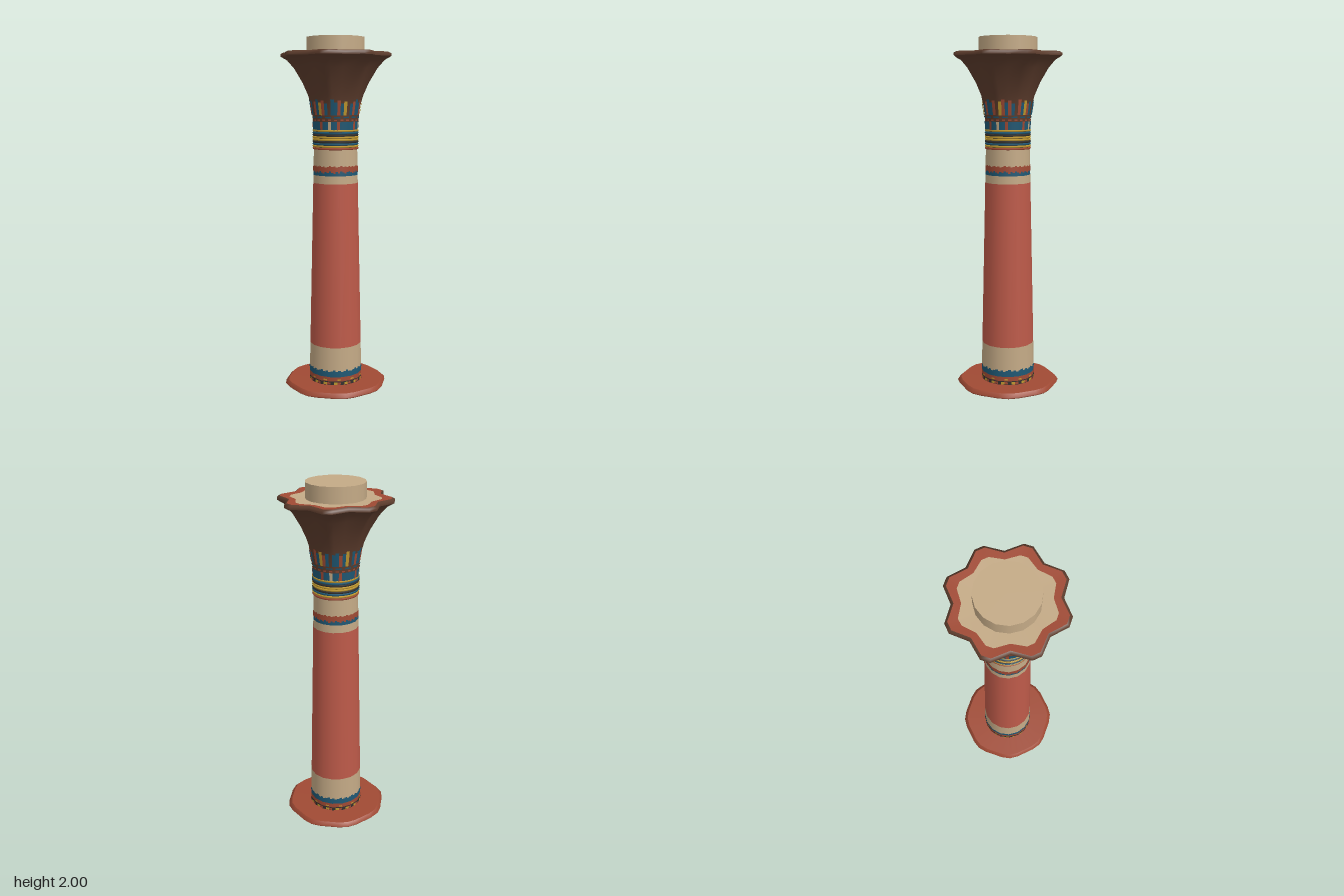
import * as THREE from 'three';
import { mergeGeometries } from 'three/addons/utils/BufferGeometryUtils.js';

const mat = (name, color) => new THREE.MeshStandardMaterial({ name, color });

export function createModel() {
  const column = new THREE.Group();
  column.name = 'column';
  const M = {
    sand: mat('sandstone', 0xc4aa86),
    red: mat('shaftRed', 0xbd5a49),
    rust: mat('rust', 0xa04a34),
    brown: mat('bellBrown', 0x5e3d2d),
    blue: mat('paintBlue', 0x1f5874),
    yellow: mat('paintYellow', 0xc0982f),
    dark: mat('darkPaint', 0x33302e),
  };
  const add = (name, geometry, material) => {
    const mesh = new THREE.Mesh(geometry, material);
    mesh.name = name;
    column.add(mesh);
    return mesh;
  };

  // Skin through rings of rows [y, tipRadius, valleyRadius] around a list of [angle, lobe weight]
  const loft = (rows, spokes) => {
    const pos = [], idx = [], n = spokes.length;
    for (const [y, tip, valley] of rows) {
      for (const [a, w] of spokes) {
        const r = valley + (tip - valley) * w;
        pos.push(r * Math.sin(a), y, r * Math.cos(a));
      }
    }
    for (let j = 0; j < rows.length - 1; j++) {
      for (let i = 0; i < n; i++) {
        const a = j * n + i, b = j * n + (i + 1) % n;
        idx.push(a, b, b + n, a, b + n, a + n);
      }
    }
    const g = new THREE.BufferGeometry();
    g.setAttribute('position', new THREE.Float32BufferAttribute(pos, 3));
    g.setIndex(idx);
    g.computeVertexNormals();
    return g;
  };

  // Foot disc, very slightly scalloped
  const footSpokes = [];
  for (let i = 0; i < 32; i++) {
    const a = i * Math.PI / 16;
    footSpokes.push([a, 0.5 - 0.5 * Math.cos(8 * a)]);
  }
  add('footUnderside', loft([[0, 0, 0], [0, 0.288, 0.277]], footSpokes), M.rust);
  add('footEdge', loft([[0, 0.288, 0.277], [0.01, 0.297, 0.285], [0.028, 0.277, 0.267]], footSpokes), M.rust);
  add('footTop', loft([[0.028, 0.277, 0.267], [0.031, 0.14, 0.14]], footSpokes), M.rust);

  // Tapering shaft in painted bands
  const shaftR = y => 0.156 - 0.0225 * y;
  const band = (name, y0, y1, material) => {
    const g = new THREE.CylinderGeometry(shaftR(y1), shaftR(y0), y1 - y0, 16, 1, true);
    g.translate(0, (y0 + y1) / 2, 0);
    add(name, g, material);
  };
  band('footBandDark', 0.03, 0.052, M.dark);
  band('footBandRust', 0.052, 0.078, M.rust);
  band('footBandBlue', 0.078, 0.108, M.blue);
  band('lowerSandBand', 0.108, 0.25, M.sand);
  band('redShaft', 0.25, 1.19, M.red);
  band('upperSandBand', 1.19, 1.235, M.sand);
  band('neckBandBlue', 1.235, 1.262, M.blue);
  band('neckBandRust', 1.262, 1.285, M.rust);
  band('neckSandBand', 1.285, 1.385, M.sand);
  band('ringCore', 1.385, 1.495, M.dark);

  // Painted strips round the column; pick(i) gives [colour, y0, y1] or null
  const strips = (name, n, radius, pick) => {
    const byColour = {};
    for (let i = 0; i < n; i++) {
      const strip = pick(i);
      if (!strip) continue;
      const [colour, y0, y1] = strip;
      const step = 2 * Math.PI / n;
      const g = new THREE.CylinderGeometry(radius(y1), radius(y0), y1 - y0, 1, 1, true, i * step, step);
      g.translate(0, (y0 + y1) / 2, 0);
      (byColour[colour] ??= []).push(g);
    }
    for (const c in byColour) add(name + ' ' + c, mergeGeometries(byColour[c]), M[c]);
  };
  const onShaft = y => shaftR(y) + 0.001;
  const jag = i => ((i * 7) % 5) / 4;
  strips('footDots', 48, onShaft, i => (i % 3 ? [i % 3 === 1 ? 'yellow' : 'rust', 0.034, 0.048] : null));
  strips('footDashes', 48, onShaft, i => (i % 4 === 0 ? ['yellow', 0.058, 0.066] : null));
  strips('footTeeth', 64, onShaft, i => ['blue', 0.1, 0.108 + 0.012 * jag(i)]);
  strips('neckTeeth', 64, onShaft, i => ['rust', 1.262 - 0.012 * jag(i), 1.275]);
  strips('neckCrest', 64, onShaft, i => ['rust', 1.275, 1.285 + 0.007 * jag(i + 2)]);

  // Stacked binding rings
  const ringColours = ['rust', 'yellow', 'blue', 'dark', 'yellow', 'yellow', 'dark', 'blue', 'yellow'];
  ringColours.forEach((c, i) => {
    const g = new THREE.TorusGeometry(0.1245, 0.0065, 6, 32);
    g.rotateX(Math.PI / 2);
    add('bindingRing' + (i + 1), g.translate(0, 1.386 + i * 0.0125, 0), M[c]);
  });

  // Flaring bell with eight blunt petals
  const petals = [];
  for (let k = 0; k < 8; k++) {
    const a = k * Math.PI / 4;
    petals.push([a - 0.078, 1], [a + 0.078, 1], [a + Math.PI / 8, 0]);
  }
  add('bell', loft([
    [1.485, 0.125, 0.125], [1.55, 0.13, 0.129], [1.62, 0.139, 0.137], [1.68, 0.156, 0.15],
    [1.75, 0.187, 0.174], [1.83, 0.235, 0.207], [1.875, 0.275, 0.235], [1.895, 0.311, 0.262],
  ], petals), M.brown);
  add('bellRim', loft([[1.895, 0.311, 0.262], [1.91, 0.312, 0.264], [1.918, 0.297, 0.25]], petals), M.brown);
  add('petalBorder', loft([[1.918, 0.297, 0.25], [1.915, 0.245, 0.215]], petals), M.rust);
  add('bellTop', loft([[1.915, 0.245, 0.215], [1.91, 0.1, 0.1]], petals), M.sand);

  // Painted leaves round the foot of the bell
  const onBell = y => 0.1275 + (y < 1.55 ? (y - 1.485) * 0.08 : 0.005 + (y - 1.55) * 0.16);
  const leaf = ['blue', 'rust', 'blue', 'blue', 'rust', 'blue', 'yellow', 'rust'];
  strips('lowerLeaves', 48, onBell, i => [i % 6 === 2 ? 'rust' : i % 12 === 5 ? 'sand' : 'blue', 1.49, 1.536]);
  strips('leafBandRust', 48, onBell, i => (i % 2 ? ['rust', 1.54, 1.548] : null));
  strips('upperLeaves', 48, onBell, i => (i % 6 === 5 ? null : [leaf[i % 8], 1.572, 1.635 + 0.022 * jag(i)]));
  strips('leafBandBlue', 48, onBell, i => (i % 3 ? ['blue', 1.556, 1.564] : null));

  // Block on top of the bell
  const block = new THREE.CylinderGeometry(0.164, 0.164, 0.1, 16);
  add('topBlock', block.translate(0, 1.95, 0), M.sand);

  return column;
}
